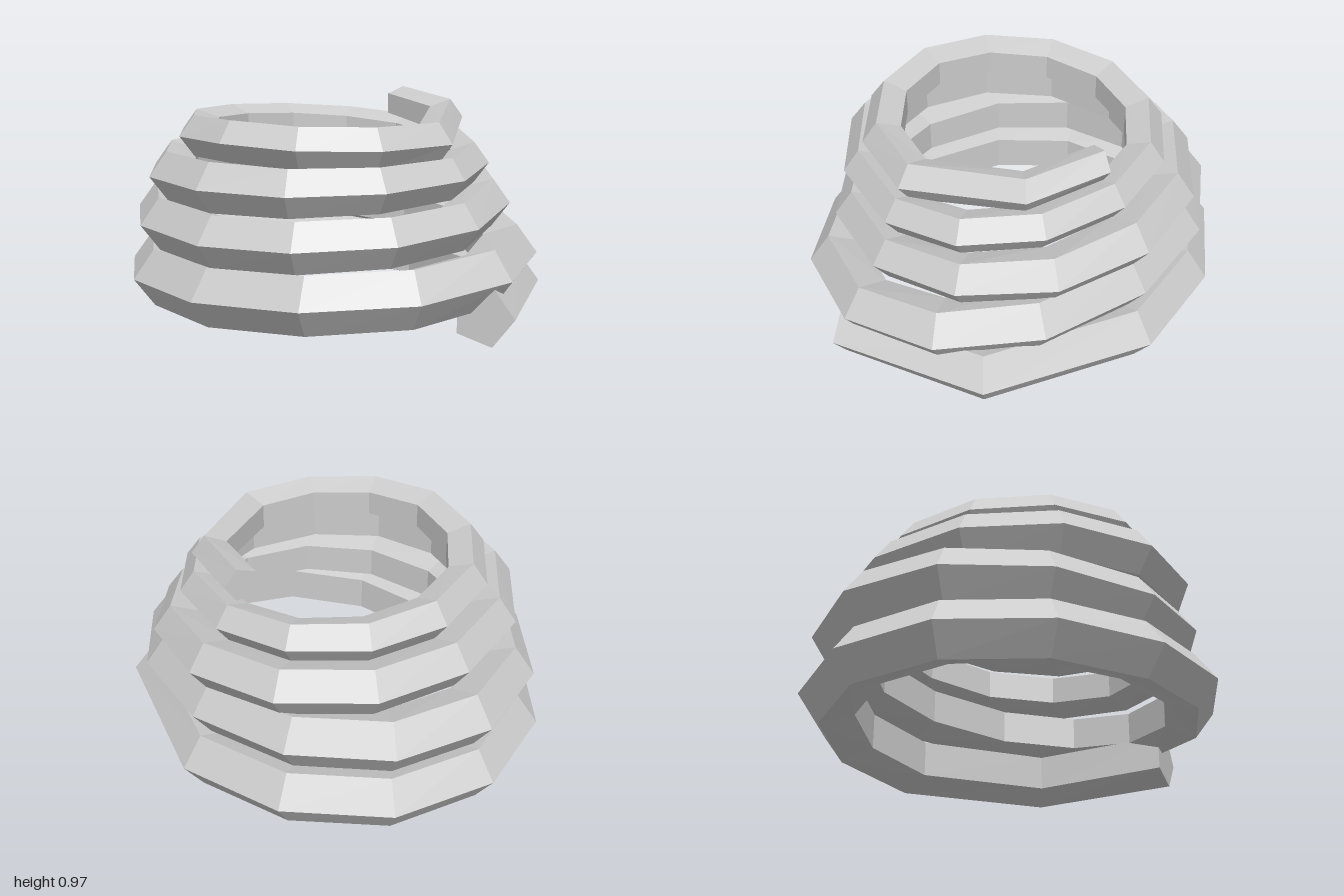
import * as THREE from 'three';

// Outer ridge distance from the coil axis, ridge height and rope radius, every quarter turn
const QUARTERS = [
  [1.02, 0.17, 0.13], [0.85, 0.13, 0.135], [0.965, 0.18, 0.13], [0.845, 0.23, 0.132],
  [0.965, 0.31, 0.125], [0.79, 0.38, 0.13], [0.935, 0.44, 0.13], [0.805, 0.455, 0.117],
  [0.8, 0.5, 0.105], [0.79, 0.6, 0.115], [0.795, 0.645, 0.11], [0.805, 0.68, 0.11],
  [0.725, 0.69, 0.092], [0.645, 0.75, 0.09], [0.665, 0.8, 0.094], [0.67, 0.85, 0.092],
  [0.655, 0.83, 0.092], [0.58, 0.9, 0.077],
];
const AXIS_Z = -0.035;
const SIDES = 5;

// Centre and radius of the rope at a winding angle in degrees (0 = front, 90 = +x)
function ropeAt(deg) {
  const q = Math.min(Math.floor(deg / 90), QUARTERS.length - 2);
  const f = deg / 90 - q;
  const a = QUARTERS[q], b = QUARTERS[q + 1];
  const y = THREE.MathUtils.lerp(a[1], b[1], f);
  const r = THREE.MathUtils.lerp(a[2], b[2], f);
  const [side, end] = q % 2 ? [a, b] : [b, a];
  const t = THREE.MathUtils.degToRad(deg);
  const p = new THREE.Vector3(
    (side[0] - side[2]) * Math.sin(t), y, AXIS_Z + (end[0] - end[2]) * Math.cos(t));
  return { p, r };
}

function coilGeometry() {
  // Twelve segments per turn, with longer segments at both loose ends
  const angles = [0, 44];
  for (let d = 90; d <= 1440; d += 30) angles.push(d);
  angles.push(1494, 1530);
  const path = angles.map(ropeAt);
  path[0].p.x = -0.09;

  // Pentagonal rings with one ridge pointing outward
  const last = path.length - 1;
  const positions = [];
  path.forEach(({ p, r }, i) => {
    const before = path[Math.max(i - 1, 0)].p, after = path[Math.min(i + 1, last)].p;
    const inDir = p.clone().sub(before).setY(0).normalize();
    const outDir = after.clone().sub(p).setY(0).normalize();
    const tangent = inDir.add(outDir).normalize();
    for (let k = 0; k < SIDES; k++) {
      const a = (k / SIDES) * Math.PI * 2;
      const out = r * Math.cos(a);
      positions.push(p.x - tangent.z * out, p.y + r * Math.sin(a), p.z + tangent.x * out);
    }
  });

  const index = [];
  for (let i = 0; i < last; i++) {
    for (let k = 0; k < SIDES; k++) {
      const n = (k + 1) % SIDES;
      const a = i * SIDES + k, b = i * SIDES + n;
      index.push(a, a + SIDES, b + SIDES, a, b + SIDES, b);
    }
  }
  // End caps
  const e = last * SIDES;
  for (let k = 1; k < SIDES - 1; k++) index.push(0, k, k + 1, e, e + k + 1, e + k);

  const geometry = new THREE.BufferGeometry();
  geometry.setAttribute('position', new THREE.Float32BufferAttribute(positions, 3));
  geometry.setIndex(index);
  const flat = geometry.toNonIndexed();
  flat.computeVertexNormals();
  return flat;
}

export function createModel() {
  const group = new THREE.Group();
  group.name = 'ropeCoil';
  const rope = new THREE.Mesh(
    coilGeometry(),
    new THREE.MeshStandardMaterial({ color: 0xcccccc, flatShading: true }));
  rope.name = 'coiledRope';
  group.add(rope);
  return group;
}
